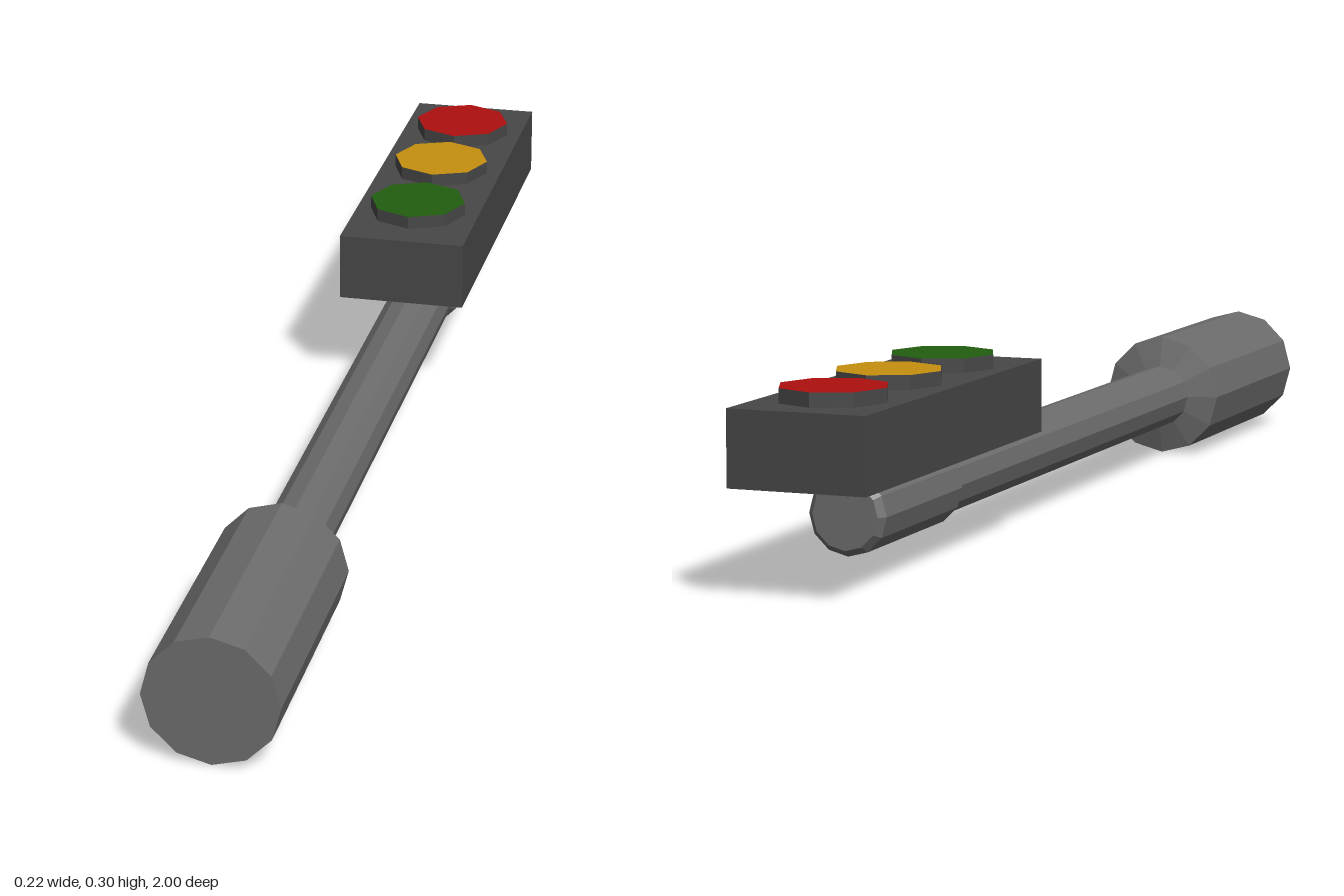
import * as THREE from 'three';

const material = (name, color) => {
  const m = new THREE.MeshStandardMaterial({ color, flatShading: true });
  m.name = name;
  return m;
};

export function createModel() {
  const model = new THREE.Group();
  model.name = 'trafficLight';

  const poleGrey = material('pole grey', 0x6c6c6c);
  const housingGrey = material('housing grey', 0x474747);
  const red = material('lamp red', 0xae0f0f);
  const amber = material('lamp amber', 0xc6900f);
  const green = material('lamp green', 0x205e0e);

  const add = (name, geometry, mat, x, y, z) => {
    const mesh = new THREE.Mesh(geometry, mat);
    mesh.name = name;
    mesh.position.set(x, y, z);
    model.add(mesh);
    return mesh;
  };

  // Twelve-sided part turned around the pole axis; profile is [radius, z], from back to front
  const turned = (name, profile) => {
    const points = profile.map(([r, z]) => new THREE.Vector2(r, z));
    const geometry = new THREE.LatheGeometry(points, 12).rotateX(Math.PI / 2);
    add(name, geometry, poleGrey, 0.004, 0.106, 0);
  };

  // Lying pole: wide foot, thin shaft and bevelled end collar
  turned('poleBase', [[0, 0.55], [0.053, 0.55], [0.104, 0.564], [0.104, 1], [0, 1]]);
  turned('poleShaft', [[0.053, -0.53], [0.053, 0.56]]);
  turned('poleCollar', [[0, -0.825], [0.052, -0.825], [0.062, -0.814],
    [0.062, -0.527], [0.053, -0.514], [0, -0.514]]);

  // Lamp housing
  add('lampHousing', new THREE.BoxGeometry(0.216, 0.115, 0.676), housingGrey, 0, 0.2245, -0.662);

  // Octagonal lamps: dark rim, coloured face
  [['redLamp', red, -0.869], ['amberLamp', amber, -0.671], ['greenLamp', green, -0.465]]
    .forEach(([name, colour, z]) => {
      const geometry = new THREE.CylinderGeometry(0.084, 0.084, 0.026, 8);
      add(name, geometry, [housingGrey, colour, housingGrey], 0, 0.291, z);
    });

  return model;
}
